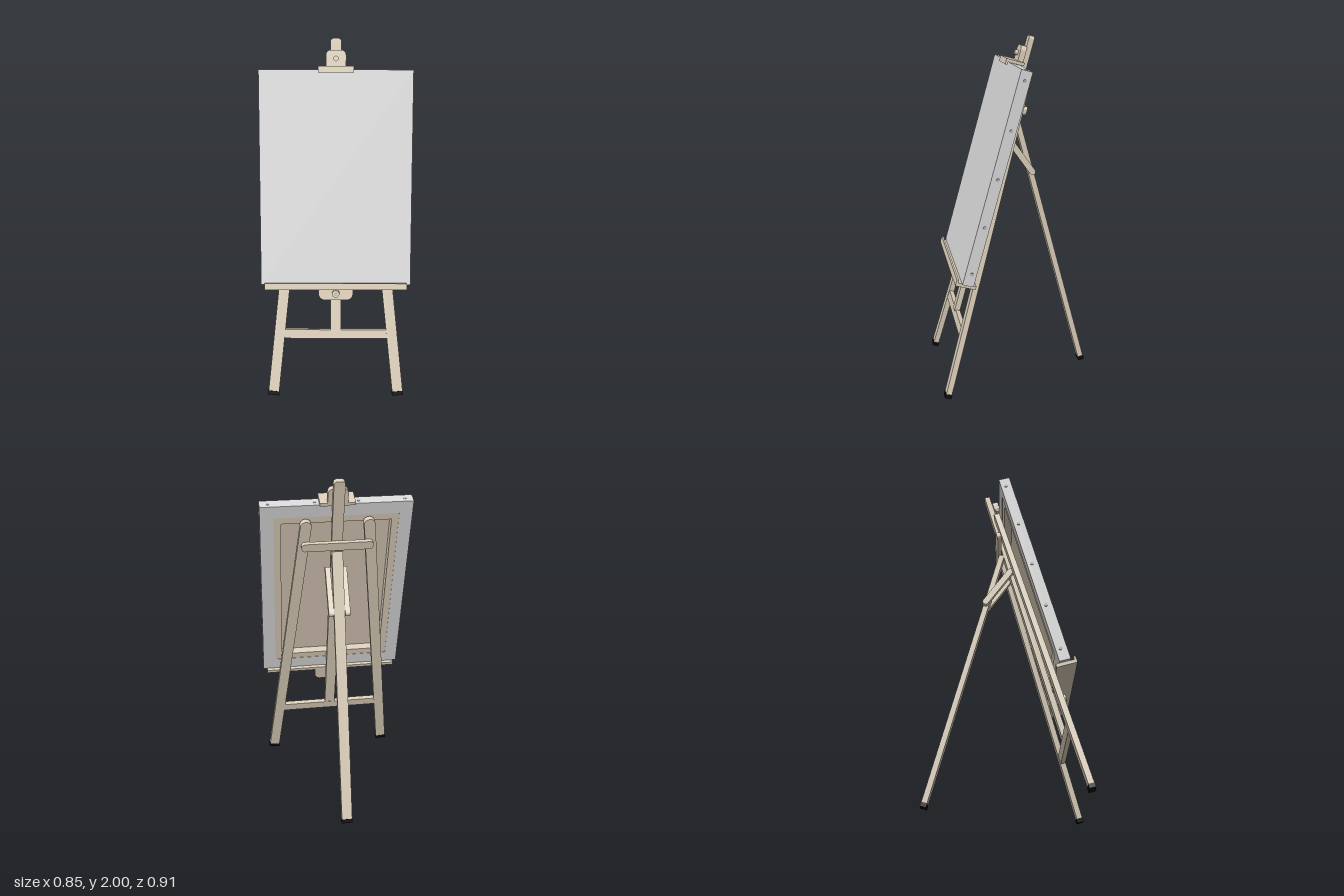
import * as THREE from 'three';

const material = (name, color) => {
  const m = new THREE.MeshStandardMaterial({ color });
  m.name = name;
  return m;
};

export function createModel() {
  const wood = material('pale wood', 0xdccfba);
  const linen = material('raw linen', 0xd8c8b5);
  const canvasGrey = material('canvas white', 0xdadada);
  const metal = material('metal', 0xb4b4b2);
  const rubber = material('black rubber', 0x0c0c0c);

  const model = new THREE.Group();
  model.name = 'easel';

  // Outline with separate corner radii at the bottom and top
  function outline(x0, x1, y0, y1, rb = 0, rt = 0) {
    const s = new THREE.Shape();
    s.moveTo(x0 + rb, y0);
    s.lineTo(x1 - rb, y0);
    if (rb) s.absarc(x1 - rb, y0 + rb, rb, -Math.PI / 2, 0);
    s.lineTo(x1, y1 - rt);
    if (rt) s.absarc(x1 - rt, y1 - rt, rt, 0, Math.PI / 2);
    s.lineTo(x0 + rt, y1);
    if (rt) s.absarc(x0 + rt, y1 - rt, rt, Math.PI / 2, Math.PI);
    s.lineTo(x0, y0 + rb);
    if (rb) s.absarc(x0 + rb, y0 + rb, rb, Math.PI, Math.PI * 1.5);
    return s;
  }

  function extrude(parent, name, mat, shape, z0, z1) {
    const geo = new THREE.ExtrudeGeometry(shape, { depth: z1 - z0, bevelEnabled: false, curveSegments: 8 });
    geo.translate(0, 0, z0);
    const mesh = new THREE.Mesh(geo, mat);
    mesh.name = name;
    parent.add(mesh);
    return mesh;
  }

  const slab = (parent, name, mat, [x0, x1], [y0, y1], [z0, z1], rb, rt) =>
    extrude(parent, name, mat, outline(x0, x1, y0, y1, rb, rt), z0, z1);

  function ring(parent, name, mat, w, y0, y1, border, z0, z1) {
    const s = outline(-w, w, y0, y1);
    s.holes.push(outline(-w + border, w - border, y0 + border, y1 - border));
    return extrude(parent, name, mat, s, z0, z1);
  }

  function disc(parent, name, mat, radius, length, x, y, z) {
    const mesh = new THREE.Mesh(new THREE.CylinderGeometry(radius, radius, length, 20), mat);
    mesh.name = name;
    mesh.position.set(x, y, z);
    parent.add(mesh);
    return mesh;
  }

  // Everything but the rear leg leans back in one tilted frame
  const lean = 0.2723;
  const frame = new THREE.Group();
  frame.name = 'leaningFrame';
  frame.position.set(0, 0.009, 0.438);
  frame.rotation.x = -lean;
  model.add(frame);

  // Splayed front legs with rounded tops and rubber feet
  for (const side of [-1, 1]) {
    const leg = new THREE.Group();
    leg.name = side > 0 ? 'leftFrontLeg' : 'rightFrontLeg';
    leg.position.x = side * 0.366;
    leg.rotation.z = side * 0.1062;
    slab(leg, 'legBar', wood, [-0.031, 0.031], [0.018, 1.83], [-0.016, 0.016], 0, 0.03);
    slab(leg, 'foot', rubber, [-0.033, 0.033], [0, 0.024], [-0.018, 0.018]);
    frame.add(leg);
  }

  // Mast and cross bars
  slab(frame, 'mast', wood, [-0.031, 0.031], [0.39, 2.063], [-0.012, 0.02], 0, 0.018);
  slab(frame, 'lowerCrossbar', wood, [-0.31, 0.31], [0.347, 0.399], [-0.014, 0.014]);
  slab(frame, 'upperCrossbar', wood, [-0.2, 0.2], [1.64, 1.69], [-0.04, -0.016], 0.02, 0.02);

  // Tray under the canvas, with its lip, plate and bolt
  slab(frame, 'trayShelf', wood, [-0.4, 0.4], [0.67, 0.69], [0.017, 0.133]);
  slab(frame, 'trayLip', wood, [-0.4, 0.4], [0.67, 0.707], [0.121, 0.133]);
  slab(frame, 'trayPlate', wood, [-0.098, 0.098], [0.59, 0.67], [0.02, 0.056], 0.035, 0);
  disc(frame, 'trayBolt', wood, 0.021, 0.028, 0, 0.632, 0.07).rotation.x = Math.PI / 2;
  disc(frame, 'trayBoltPin', metal, 0.01, 0.004, 0, 0.632, 0.084).rotation.x = Math.PI / 2;

  // Top clamp
  slab(frame, 'clampShelf', wood, [-0.098, 0.098], [1.894, 1.912], [0.02, 0.125]);
  slab(frame, 'clampLip', wood, [-0.098, 0.098], [1.878, 1.912], [0.113, 0.125]);
  slab(frame, 'clampPlate', wood, [-0.056, 0.056], [1.912, 2.0], [0.02, 0.053], 0, 0.03);
  disc(frame, 'clampBolt', wood, 0.015, 0.022, 0, 1.953, 0.062).rotation.x = Math.PI / 2;

  // Stretched canvas: skin, folded border, wooden stretcher and linen back
  const canvas = new THREE.Group();
  canvas.name = 'canvas';
  frame.add(canvas);
  const W = 0.422, B = 0.691, T = 1.893;
  slab(canvas, 'canvasFront', canvasGrey, [-W, W], [B, T], [0.092, 0.1]);
  ring(canvas, 'canvasWrap', canvasGrey, W, B, T, 0.075, 0.037, 0.092);
  ring(canvas, 'stretcherFrame', wood, W - 0.075, B + 0.075, T - 0.075, 0.04, 0.039, 0.092);
  slab(canvas, 'canvasBack', linen, [-W + 0.115, W - 0.115], [B + 0.115, T - 0.115], [0.086, 0.092]);

  // Tacks round the canvas edges
  for (const side of [-1, 1]) {
    for (let i = 0; i < 5; i++) {
      disc(canvas, 'sideTack', metal, 0.009, 0.006, side * (W + 0.002), 0.76 + i * 0.27, 0.065).rotation.z = Math.PI / 2;
    }
    for (const x of [0.12, 0.375]) {
      disc(canvas, 'topTack', metal, 0.009, 0.005, side * x, T, 0.065);
      disc(canvas, 'bottomTack', metal, 0.009, 0.005, side * x, B, 0.065);
    }
  }

  // Rear leg
  const rear = new THREE.Group();
  rear.name = 'rearLeg';
  rear.position.set(0, 0.005, -0.438);
  rear.rotation.x = 0.2635;
  slab(rear, 'legBar', wood, [-0.031, 0.031], [0.018, 1.615], [-0.016, 0.016]);
  slab(rear, 'foot', rubber, [-0.032, 0.032], [0, 0.024], [-0.018, 0.018]);
  model.add(rear);

  // Pair of braces between mast and rear leg
  for (const side of [-1, 1]) {
    const brace = new THREE.Group();
    brace.name = side > 0 ? 'leftBrace' : 'rightBrace';
    brace.position.set(side * 0.047, 1.332, -0.04);
    brace.rotation.x = Math.atan2(0.16, 0.225);
    slab(brace, 'braceBar', wood, [-0.018, 0.018], [-0.143, 0.143], [-0.015, 0.015], 0.016, 0.016).rotation.y = Math.PI / 2;
    model.add(brace);
  }

  return model;
}
